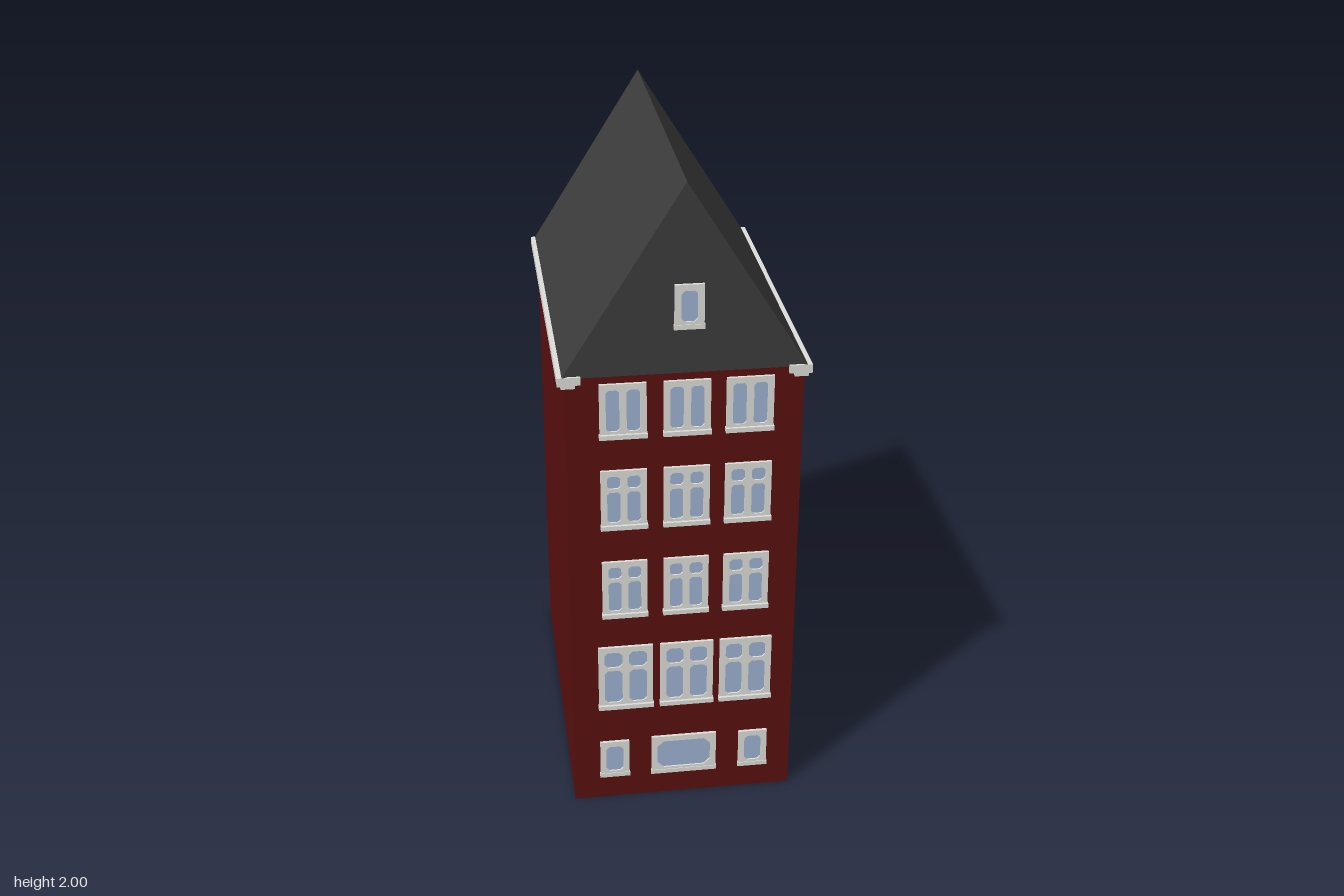
import * as THREE from 'three';

const mat = (name, color, extra = {}) => {
  const m = new THREE.MeshStandardMaterial({ color, ...extra });
  m.name = name;
  return m;
};

export function createModel() {
  const brick = mat('darkRedWall', 0x5a0f0f);
  const slate = mat('charcoalRoof', 0x3c3c3c);
  const trim = mat('offWhiteTrim', 0xdcdcd8);
  const glass = mat('paleBlueGlass', 0x9cb2d0);

  const house = new THREE.Group();
  house.name = 'townHouse';
  const W = 0.335, D = 0.53, EAVE = 1.45, TOP = 2;

  const add = (parent, name, geo, material, x = 0, y = 0, z = 0) => {
    const m = new THREE.Mesh(geo, material);
    m.name = name;
    m.position.set(x, y, z);
    parent.add(m);
    return m;
  };
  const polygon = (pts) => new THREE.Shape(pts.map(([x, y]) => new THREE.Vector2(x, y)));
  const extrude = (shape, depth) =>
    new THREE.ExtrudeGeometry(shape, { depth, bevelEnabled: false });

  // Walls with a dark underside
  add(house, 'walls', new THREE.BoxGeometry(W * 2, EAVE, D * 2),
    [brick, brick, brick, slate, brick, brick], 0, EAVE / 2, 0);

  // Attic body, its triangular ends are the gables
  const attic = polygon([[-W, EAVE], [W, EAVE], [0, TOP - 0.012]]);
  add(house, 'gables', extrude(attic, 2 * 0.535), slate, 0, 0, -0.535);

  // Thin roof slopes and stepped eave gutters, mirrored left and right
  for (const s of [-1, 1]) {
    const side = s < 0 ? 'right' : 'left';
    const slope = polygon([[0, TOP], [0, TOP - 0.014], [s * 0.335, EAVE], [s * 0.345, EAVE]]);
    add(house, side + 'RoofSlope', extrude(slope, 1.08), slate, 0, 0, -0.54);
    const gutter = polygon([[0.29, 1.432], [0.305, 1.432], [0.305, 1.422], [0.345, 1.422],
      [0.345, 1.43], [0.355, 1.43], [0.355, 1.456], [0.29, 1.456]].map(([x, y]) => [s * x, y]));
    add(house, side + 'Gutter', extrude(gutter, 1.084), trim, 0, 0, -0.542);
  }

  // Rectangle with small cut corners for a pane opening
  const paneOpening = (x0, y0, x1, y1) => {
    const c = Math.min(x1 - x0, y1 - y0) * 0.2;
    return new THREE.Path([[x0 + c, y0], [x1 - c, y0], [x1, y0 + c], [x1, y1 - c],
      [x1 - c, y1], [x0 + c, y1], [x0, y1 - c], [x0, y0 + c]]
      .map(([x, y]) => new THREE.Vector2(x, y)));
  };

  // One window: pierced frame, recessed glass and projecting sill
  const addWindow = (name, x0, x1, y0, y1, { cols = 1, transom = 0, sill = 0.017, z = D } = {}) => {
    const g = new THREE.Group();
    g.name = name;
    house.add(g);
    const border = 0.018, bar = 0.02;
    const frame = polygon([[x0, y0], [x1, y0], [x1, y1], [x0, y1]]);
    const paneW = (x1 - x0 - 2 * border - (cols - 1) * bar) / cols;
    const low = y0 + border + 0.004, high = y1 - border;
    const mid = low + (high - low) * transom;
    const rows = transom ? [[low, mid - 0.006], [mid + 0.006, high]] : [[low, high]];
    for (let i = 0; i < cols; i++) {
      const px = x0 + border + i * (paneW + bar);
      for (const [a, b] of rows) frame.holes.push(paneOpening(px, a, px + paneW, b));
    }
    add(g, 'frame', extrude(frame, 0.009), trim, 0, 0, z);
    add(g, 'glass', new THREE.BoxGeometry(x1 - x0 - 0.01, y1 - y0 - 0.01, 0.004), glass,
      (x0 + x1) / 2, (y0 + y1) / 2, z + 0.002);
    if (sill) {
      add(g, 'sill', new THREE.BoxGeometry(x1 - x0 + 0.004, 0.014, sill), trim,
        (x0 + x1) / 2, y0 + 0.007, z + sill / 2);
    }
  };

  // Three upper storeys, three windows each
  const upper = [[-0.24, -0.108], [-0.06, 0.072], [0.116, 0.25]];
  for (const [y0, y1, transom] of [[1.26, 1.427, 0], [0.968, 1.157, 0.7], [0.668, 0.857, 0.7]]) {
    for (const [x0, x1] of upper) addWindow('upperWindow', x0, x1, y0, y1, { cols: 2, transom });
  }
  // Tall main floor windows
  for (const [x0, x1] of [[-0.256, -0.092], [-0.07, 0.09], [0.11, 0.267]]) {
    addWindow('mainFloorWindow', x0, x1, 0.34, 0.56, { cols: 2, transom: 0.67 });
  }
  // Ground floor and attic windows
  addWindow('groundWindow', -0.255, -0.166, 0.082, 0.213, { sill: 0.011 });
  addWindow('groundWindow', 0.174, 0.262, 0.082, 0.213, { sill: 0.011 });
  addWindow('wideGroundWindow', -0.097, 0.103, 0.08, 0.218, { sill: 0.011 });
  addWindow('atticWindow', -0.032, 0.05, 1.583, 1.713, { sill: 0.011, z: 0.535 });

  return house;
}
